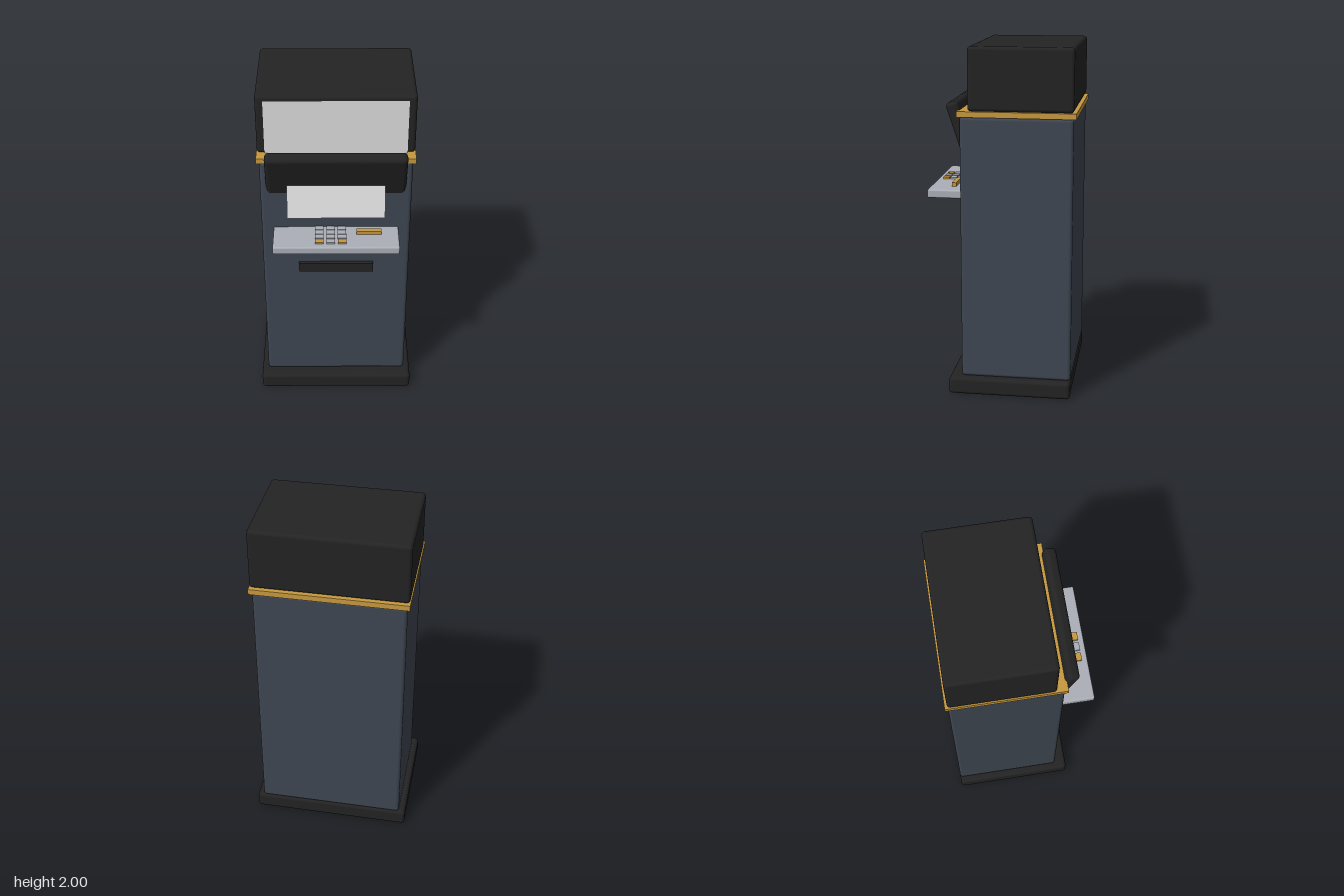
import * as THREE from 'three';
import { RoundedBoxGeometry } from 'three/addons/geometries/RoundedBoxGeometry.js';

const paint = (name, color) => {
  const m = new THREE.MeshStandardMaterial({ color });
  m.name = name;
  return m;
};

export function createModel() {
  const group = new THREE.Group();
  const navy = paint('slate blue', 0x3e4651);
  const black = paint('black', 0x232323);
  const gold = paint('gold', 0xc8993f);
  const grey = paint('light grey', 0xabafb7);
  const white = paint('screen white', 0xdedede);

  const add = (name, geometry, material, x, y, z) => {
    const mesh = new THREE.Mesh(geometry, material);
    mesh.name = name;
    mesh.position.set(x, y, z);
    group.add(mesh);
    return mesh;
  };
  // Box given by its extents, with rounded edges when r > 0
  const block = (name, material, [x0, x1], [y0, y1], [z0, z1], r = 0) => {
    const w = x1 - x0, h = y1 - y0, d = z1 - z0;
    const geometry = r ? new RoundedBoxGeometry(w, h, d, 3, r) : new THREE.BoxGeometry(w, h, d);
    return add(name, geometry, material, (x0 + x1) / 2, (y0 + y1) / 2, (z0 + z1) / 2);
  };

  // Cabinet
  block('base', black, [-0.46, 0.46], [0, 0.1], [-0.41, 0.292], 0.02);
  block('cabinet', navy, [-0.423, 0.423], [0.1, 1.615], [-0.41, 0.222], 0.02);
  block('trimBand', gold, [-0.438, 0.438], [1.615, 1.647], [-0.426, 0.235]);
  block('head', black, [-0.435, 0.435], [1.647, 2], [-0.412, 0.175], 0.02);

  // Lit sign on the head and tilted display below the visor
  add('signPanel', new THREE.PlaneGeometry(0.784, 0.32), white, 0, 1.81, 0.178);
  const display = add('display', new THREE.PlaneGeometry(0.546, 0.193), white, 0, 1.396, 0.28);
  display.rotation.x = -0.25;

  // Leaning visor
  const visor = add('visor', new RoundedBoxGeometry(0.78, 0.3, 0.07, 4, 0.025), black, 0, 1.548, 0.229);
  visor.rotation.x = 0.32;

  // Shelf with keypad and card slot
  block('shelf', grey, [-0.354, 0.354], [1.138, 1.187], [0.15, 0.424], 0.01);
  for (let row = 0; row < 4; row++) {
    for (let col = 0; col < 3; col++) {
      const x = -0.095 + col * 0.064, z = 0.247 + row * 0.042;
      const isGold = row === 3 && col !== 1;
      block('key', isGold ? gold : grey,
        [x - 0.024, x + 0.024], [1.183, 1.198], [z - 0.018, z + 0.018]);
    }
  }
  block('cardSlot', gold, [0.115, 0.255], [1.183, 1.209], [0.274, 0.3]);

  // Dispensing slot
  block('cashSlot', black, [-0.215, 0.215], [0.88, 0.94], [0.2, 0.243]);

  return group;
}
